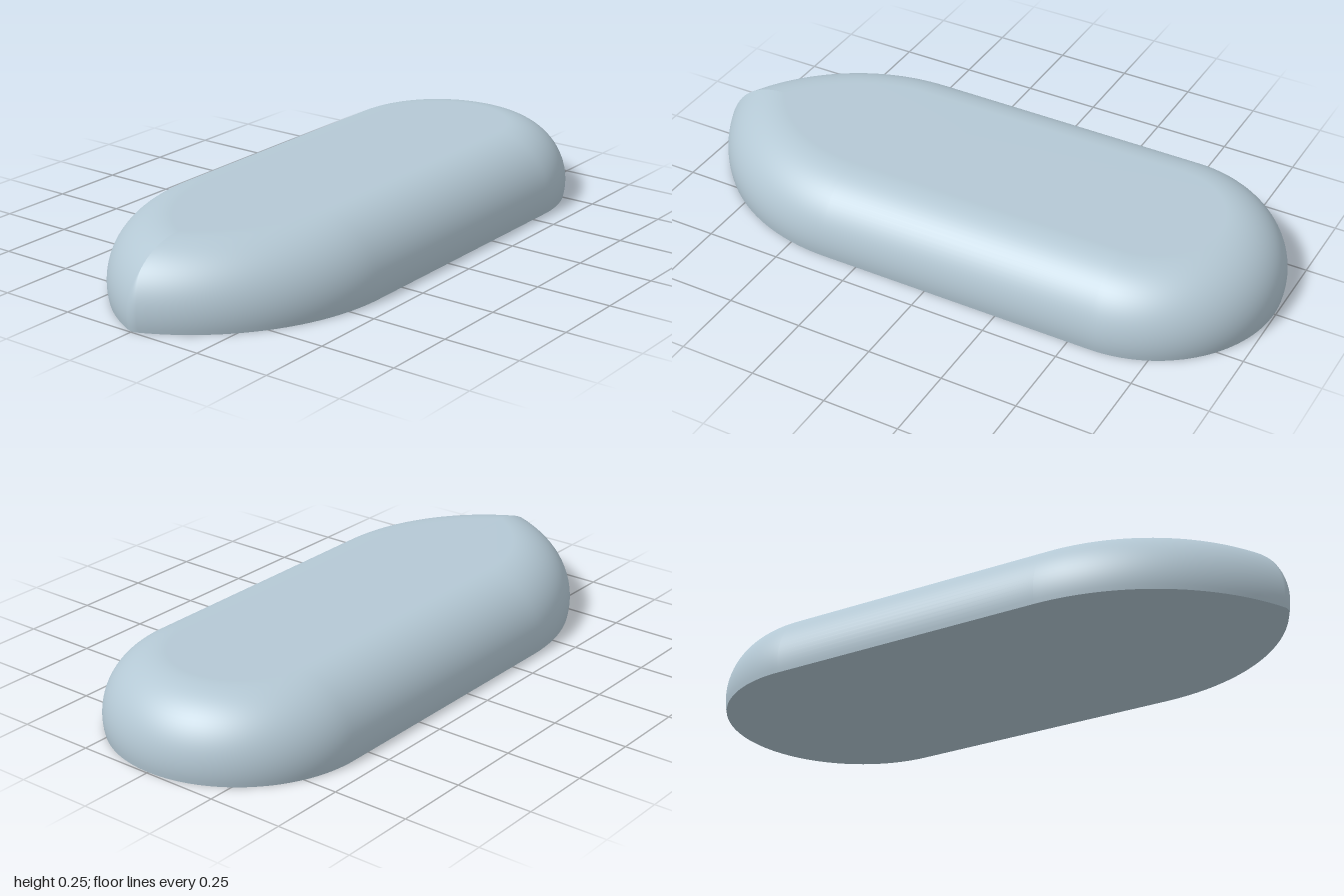
import * as THREE from 'three';

const W = 0.428;       // half width, also the radius of the round back end
const BACK = -0.572;   // centre of the back arc
const NOSE = 0.37;     // where the sides start curving to the nose
const TIP = 0.05;      // small rounding of the nose tip
const EDGE = 0.2;      // rounding radius of the upper edge
const HEIGHT = 0.245;
// Nose arc radius that brings the rounded tip exactly to z = 1
const R = ((1 - TIP - NOSE) ** 2 + W * W - TIP * TIP) / (2 * (W - TIP));

// Closed plan outline [x, z], moved inward by d; starts at the nose tip
function outline(d) {
  const half = [];
  const tip = Math.max(TIP - d, 0);
  const end = Math.acos((R - W) / (R - d - tip));
  const tipZ = NOSE + (R - d - tip) * Math.sin(end);
  const arc = (cx, cz, r, from, to, n, first) => {
    for (let i = first; i <= n; i++) {
      const a = from + (to - from) * i / n;
      half.push([cx + r * Math.cos(a), cz + r * Math.sin(a)]);
    }
  };
  arc(0, tipZ, tip, Math.PI / 2, end, 8, 0);
  arc(W - R, NOSE, R - d, end, 0, 32, 1);
  arc(0, BACK, W - d, 0, -Math.PI / 2, 32, 0);
  const mirrored = half.slice(1, -1).reverse().map(([x, z]) => [-x, z]);
  return [...half, ...mirrored];
}

function indexedGeometry(positions, index) {
  const g = new THREE.BufferGeometry();
  g.setAttribute('position', new THREE.Float32BufferAttribute(positions, 3));
  g.setIndex(index);
  g.computeVertexNormals();
  return g;
}

// Rounded wall lofted through inset outlines, closed by the flat top
function shellGeometry() {
  const pos = [], index = [], rings = 24;
  const start = -Math.asin((HEIGHT - EDGE) / EDGE);
  let n = 0;
  for (let k = 0; k <= rings; k++) {
    const a = start + (Math.PI / 2 - start) * k / rings;
    const y = HEIGHT - EDGE + EDGE * Math.sin(a);
    const loop = outline(EDGE * (1 - Math.cos(a)));
    n = loop.length;
    for (const [x, z] of loop) pos.push(x, y, z);
  }
  for (let k = 0; k < rings; k++) {
    for (let i = 0; i < n; i++) {
      const j = (i + 1) % n, lo = k * n, hi = lo + n;
      index.push(lo + i, lo + j, hi + j, lo + i, hi + j, hi + i);
    }
  }
  const centre = pos.length / 3;
  pos.push(0, HEIGHT, 0);
  for (let i = 0; i < n; i++) index.push(centre, rings * n + i, rings * n + (i + 1) % n);
  return indexedGeometry(pos, index);
}

// Flat underside with a sharp rim
function baseGeometry() {
  const rise = HEIGHT - EDGE;
  const loop = outline(EDGE - Math.sqrt(EDGE * EDGE - rise * rise));
  const pos = [0, 0, 0], index = [];
  loop.forEach(([x, z], i) => {
    pos.push(x, 0, z);
    index.push(0, 1 + (i + 1) % loop.length, 1 + i);
  });
  return indexedGeometry(pos, index);
}

export function createModel() {
  const group = new THREE.Group();
  group.name = 'roundedBody';
  const material = new THREE.MeshStandardMaterial({ color: 0xb4c8d4 });
  const add = (name, geometry) => {
    const mesh = new THREE.Mesh(geometry, material);
    mesh.name = name;
    group.add(mesh);
  };
  add('shell', shellGeometry());
  add('base', baseGeometry());
  return group;
}
